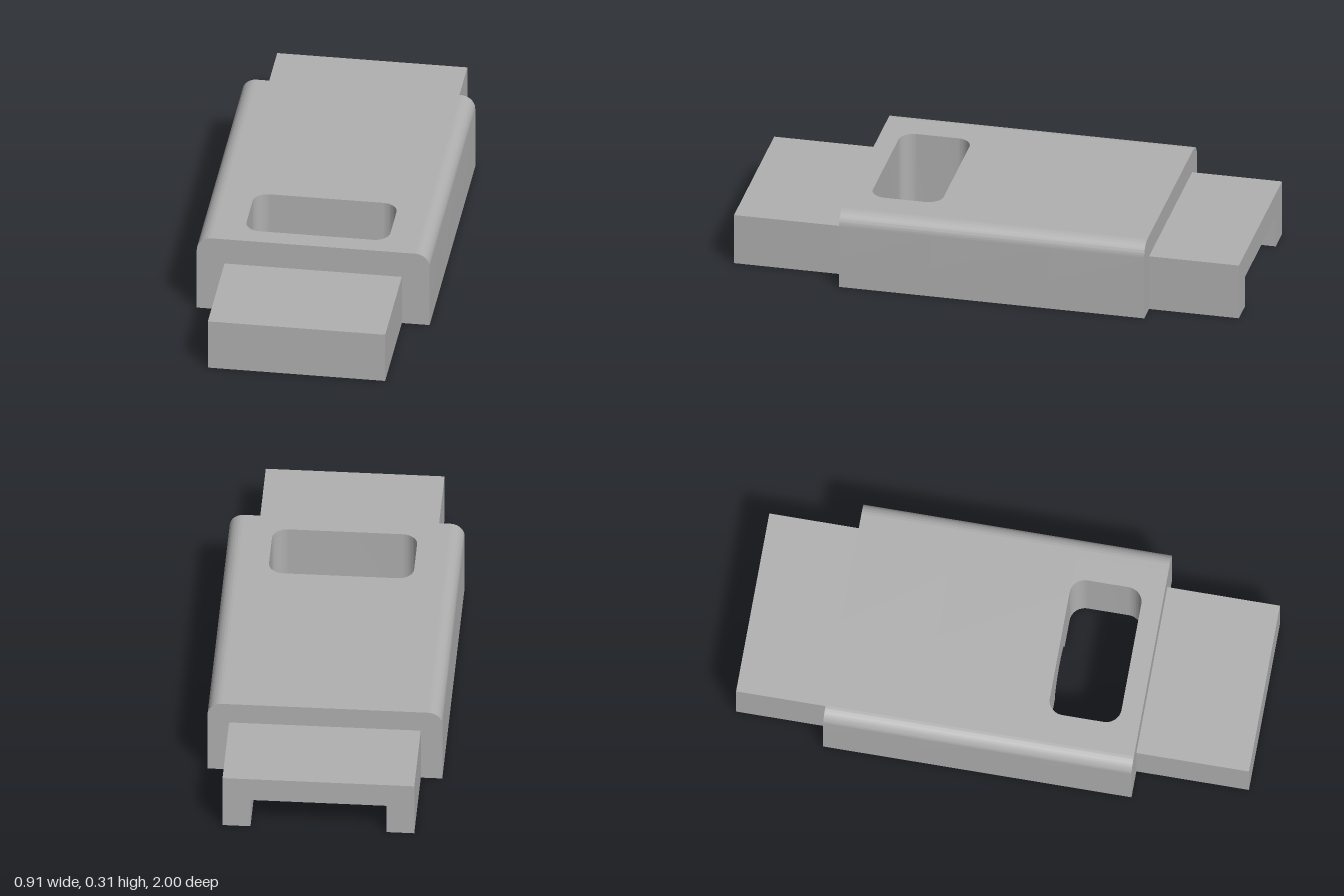
import * as THREE from 'three';
import { toCreasedNormals } from 'three/addons/utils/BufferGeometryUtils.js';

const W = 0.453, H = 0.315, R = 0.055;            // body half width, height, top edge radius
const Z_BACK = -0.645, Z_STEP = -0.27, Z_SLOT = 0.2, Z_FRONT = 0.56;
const CH_W = 0.262, CH_H = 0.127;                 // underside channel half width and depth
const HALF_PI = Math.PI / 2;

export function createModel() {
  const group = new THREE.Group();
  const grey = new THREE.MeshStandardMaterial({ color: 0xb0b0b0 });
  grey.name = 'grey';

  const add = (name, geometry) => {
    const mesh = new THREE.Mesh(toCreasedNormals(geometry, 0.5), grey);
    mesh.name = name;
    group.add(mesh);
  };
  // Extrudes a front-facing cross-section between two depths
  const alongZ = (name, shape, z0, z1) => {
    const geometry = new THREE.ExtrudeGeometry(shape, { depth: z1 - z0, bevelEnabled: false, curveSegments: 16 });
    add(name, geometry.translate(0, 0, z0));
  };
  const cutChannel = (s) => s.lineTo(-CH_W, 0).lineTo(-CH_W, CH_H).lineTo(CH_W, CH_H).lineTo(CH_W, 0);
  const cutGroove = (s) => s.lineTo(-0.11, 0).absarc(0, 0, 0.11, Math.PI, 0, true);

  // Body cross-section with rounded upper edges and a cut in the underside
  const bodySection = (cut) => {
    const s = new THREE.Shape().moveTo(-W, 0);
    cut(s);
    return s.lineTo(W, 0).lineTo(W, H - R)
      .absarc(W - R, H - R, R, 0, HALF_PI, false)
      .lineTo(-W + R, H)
      .absarc(-W + R, H - R, R, HALF_PI, Math.PI, false)
      .lineTo(-W, 0);
  };
  alongZ('bodyBack', bodySection(cutChannel), Z_BACK, Z_STEP);
  alongZ('bodyMiddle', bodySection(cutGroove), Z_STEP, Z_SLOT);

  // Front of the body around the through slot, drawn in plan (shape y is -z)
  const a = 0.36, sx = 0.28, r = 0.06, y0 = -Z_SLOT, y1 = -0.48;
  const plan = new THREE.Shape()
    .moveTo(-a, -Z_FRONT).lineTo(a, -Z_FRONT).lineTo(a, y0).lineTo(sx - r, y0)
    .absarc(sx - r, y0 - r, r, HALF_PI, 0, true)
    .absarc(sx - r, y1 + r, r, 0, -HALF_PI, true)
    .absarc(-sx + r, y1 + r, r, -HALF_PI, -Math.PI, true)
    .absarc(-sx + r, y0 - r, r, Math.PI, HALF_PI, true)
    .lineTo(-a, y0).lineTo(-a, -Z_FRONT);
  add('slotFrame', new THREE.ExtrudeGeometry(plan, { depth: H, bevelEnabled: false, curveSegments: 12 })
    .rotateX(-HALF_PI));

  // Rounded cheeks beside the slot
  const leftCheek = new THREE.Shape().moveTo(a, 0).lineTo(W, 0).lineTo(W, H - R)
    .absarc(W - R, H - R, R, 0, HALF_PI, false).lineTo(a, H).lineTo(a, 0);
  const rightCheek = new THREE.Shape().moveTo(-a, 0).lineTo(-a, H).lineTo(-W + R, H)
    .absarc(-W + R, H - R, R, HALF_PI, Math.PI, false).lineTo(-W, 0).lineTo(-a, 0);
  alongZ('leftCheek', leftCheek, Z_SLOT, Z_FRONT);
  alongZ('rightCheek', rightCheek, Z_SLOT, Z_FRONT);

  // Back tongue, hollow underneath
  const tongue = new THREE.Shape().moveTo(-0.37, 0);
  cutChannel(tongue);
  tongue.lineTo(0.37, 0).lineTo(0.37, 0.227).lineTo(-0.37, 0.227).lineTo(-0.37, 0);
  alongZ('backTongue', tongue, -1, Z_BACK);

  // Solid front tongue
  add('frontTongue', new THREE.BoxGeometry(0.69, 0.207, 1 - Z_FRONT).translate(0, 0.1035, (1 + Z_FRONT) / 2));

  return group;
}
